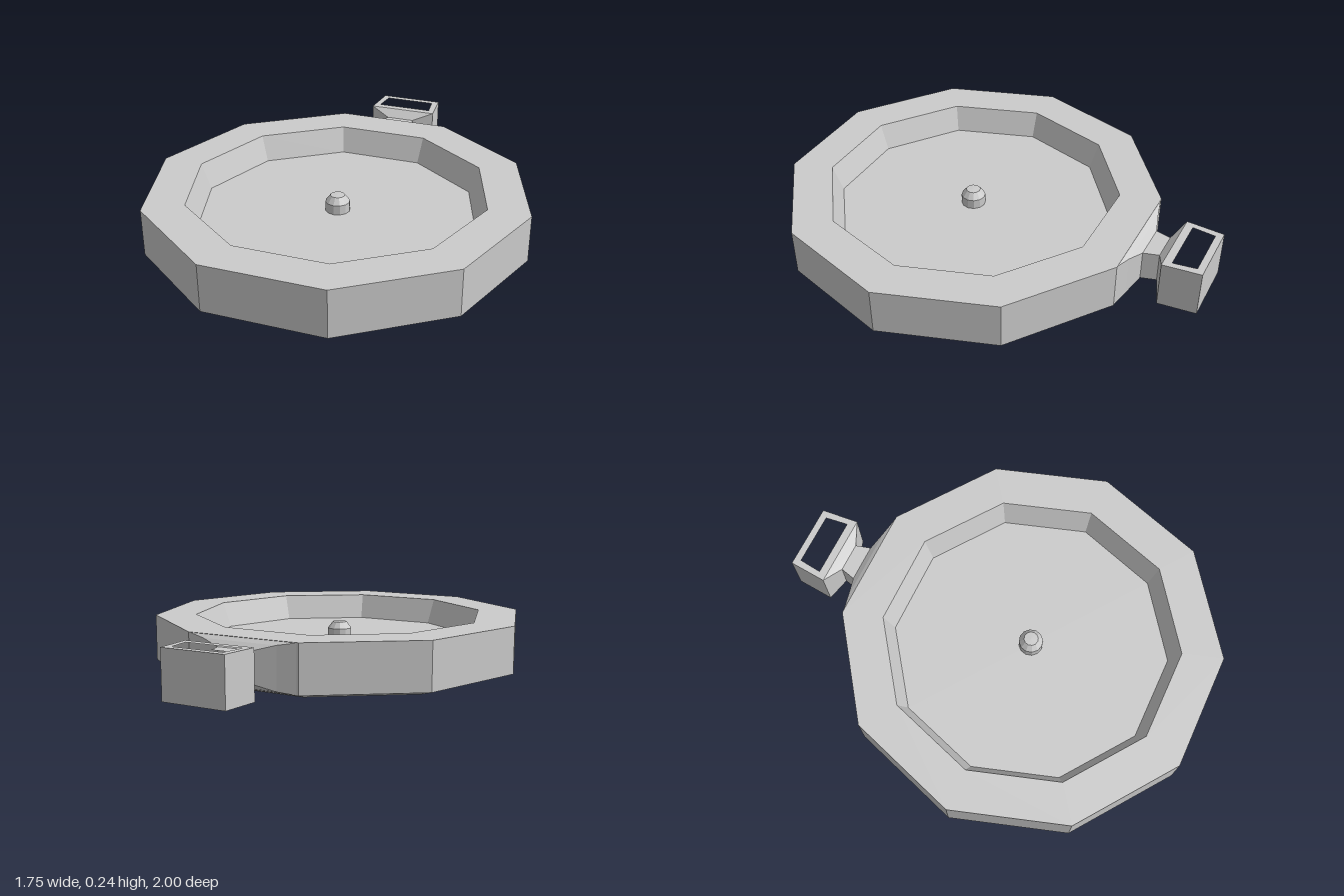
import * as THREE from 'three';

const material = new THREE.MeshStandardMaterial({ color: 0xcccccc, flatShading: true });
const CENTRE_Z = 0.165;

function addPart(group, name, geometry) {
  const mesh = new THREE.Mesh(geometry, material);
  mesh.name = name;
  group.add(mesh);
  return mesh;
}

function faceted(profile, sides, start = 0) {
  const points = profile.map(([r, y]) => new THREE.Vector2(r, y));
  return new THREE.LatheGeometry(points, sides, start).toNonIndexed();
}

// Joins rectangular sections [z, halfWidth, bottom, top], running towards -z
function loft(sections) {
  const rings = sections.map(([z, w, b, t]) => [[w, b, z], [w, t, z], [-w, t, z], [-w, b, z]]);
  const positions = [];
  for (let i = 0; i < rings.length - 1; i++) {
    for (let k = 0; k < 4; k++) {
      const n = (k + 1) % 4;
      const [a, b, c, d] = [rings[i][k], rings[i][n], rings[i + 1][n], rings[i + 1][k]];
      positions.push(...a, ...d, ...c, ...a, ...c, ...b);
    }
  }
  const geometry = new THREE.BufferGeometry();
  geometry.setAttribute('position', new THREE.Float32BufferAttribute(positions, 3));
  geometry.computeVertexNormals();
  return geometry;
}

export function createModel() {
  const group = new THREE.Group();
  group.name = 'pocketWatchCase';

  // Ten-sided case with a bevelled underside and a recessed dial
  const body = faceted([
    [0, 0], [0.79, 0], [0.875, 0.025], [0.875, 0.24],
    [0.685, 0.24], [0.64, 0.12], [0, 0.12],
  ], 10, Math.PI / 10);
  addPart(group, 'caseBody', body).position.z = CENTRE_Z;

  // Domed pin at the middle of the dial
  const pin = faceted([[0.056, 0], [0.056, 0.045], [0.033, 0.075], [0, 0.077]], 12);
  addPart(group, 'centrePin', pin).position.set(0, 0.12, CENTRE_Z);

  // Neck that narrows from the case and flares into the loop
  addPart(group, 'neck', loft([
    [-0.665, 0.27, 0.025, 0.24],
    [-0.687, 0.18, 0.035, 0.225],
    [-0.715, 0.087, 0.06, 0.2],
    [-0.785, 0.068, 0.06, 0.2],
    [-0.825, 0.167, 0.02, 0.237],
  ]));

  // Rectangular hanging loop, open from top to bottom
  const outline = new THREE.Shape([
    new THREE.Vector2(-0.167, -0.825), new THREE.Vector2(0.167, -0.825),
    new THREE.Vector2(0.152, -1), new THREE.Vector2(-0.152, -1),
  ]);
  outline.holes.push(new THREE.Path([
    new THREE.Vector2(-0.135, -0.862), new THREE.Vector2(0.135, -0.862),
    new THREE.Vector2(0.122, -0.968), new THREE.Vector2(-0.122, -0.968),
  ]));
  const loop = new THREE.ExtrudeGeometry(outline, { depth: 0.217, bevelEnabled: false });
  loop.rotateX(Math.PI / 2);
  addPart(group, 'hangingLoop', loop).position.y = 0.237;

  return group;
}
